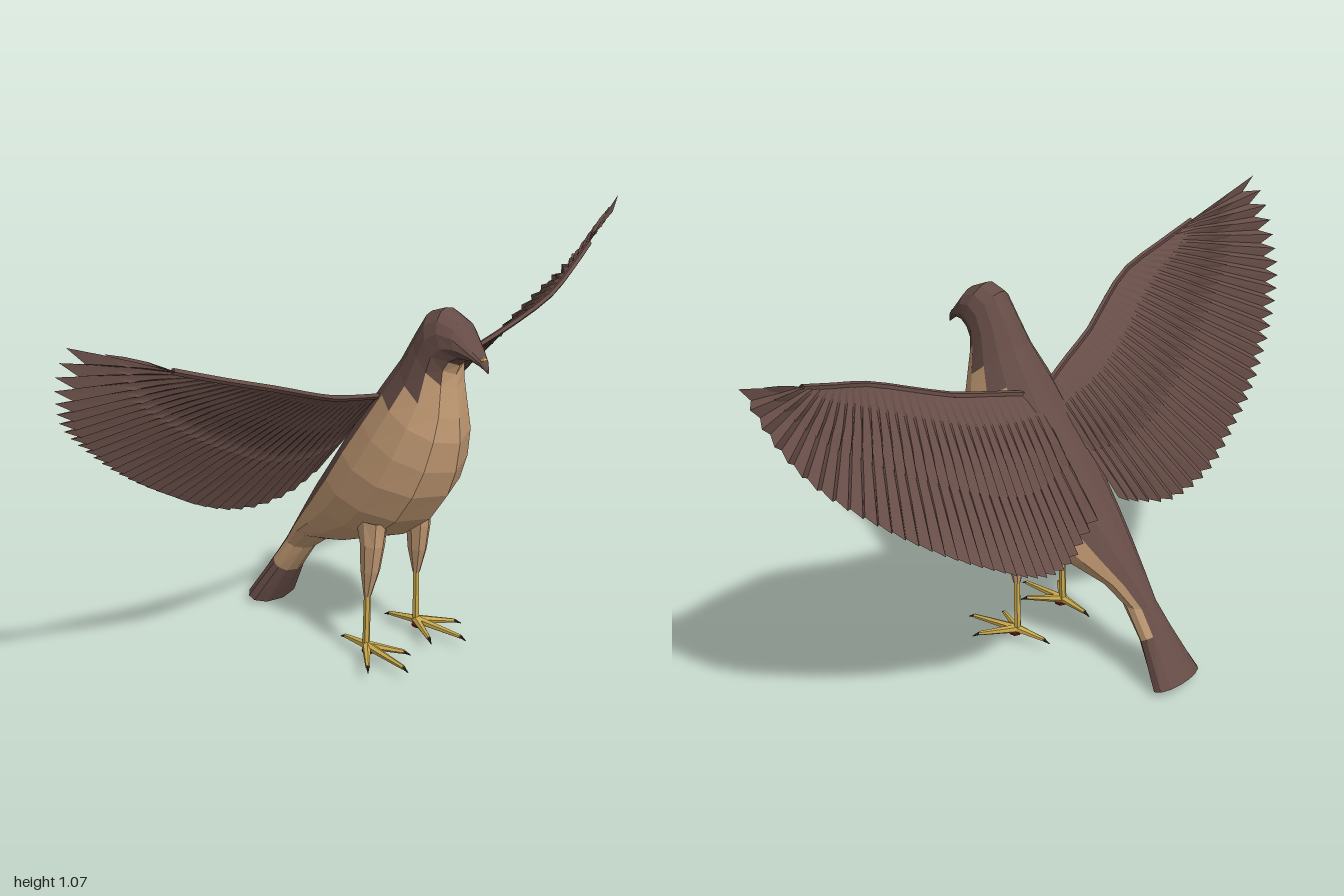
import * as THREE from 'three';

const mat = (name, color, double) => {
  const m = new THREE.MeshStandardMaterial({ color, flatShading: true });
  m.name = name;
  if (double) m.side = THREE.DoubleSide;
  return m;
};
const V = (x, y, z) => new THREE.Vector3(x, y, z);

function meshFrom(name, pts, material) {
  const g = new THREE.BufferGeometry().setFromPoints(pts);
  g.computeVertexNormals();
  const m = new THREE.Mesh(g, material);
  m.name = name;
  return m;
}

// tapered rod between two points
function rod(name, a, b, ra, rb, material, sides = 6) {
  const m = new THREE.Mesh(new THREE.CylinderGeometry(rb, ra, a.distanceTo(b), sides), material);
  m.position.copy(a).lerp(b, 0.5);
  m.quaternion.setFromUnitVectors(V(0, 1, 0), b.clone().sub(a).normalize());
  m.name = name;
  return m;
}

// body sections from beak to tail: back z, back y, belly z, belly y, half width
const SECTIONS = [
  [0.402, 0.85, 0.402, 0.838, 0.004], [0.395, 0.868, 0.385, 0.852, 0.014],
  [0.365, 0.9, 0.365, 0.862, 0.03], [0.32, 0.955, 0.335, 0.858, 0.05],
  [0.27, 0.977, 0.315, 0.84, 0.06], [0.225, 0.96, 0.305, 0.815, 0.065],
  [0.19, 0.905, 0.308, 0.78, 0.07], [0.15, 0.835, 0.318, 0.7, 0.088],
  [0.1, 0.765, 0.322, 0.64, 0.112], [0.04, 0.68, 0.31, 0.56, 0.132],
  [-0.03, 0.58, 0.285, 0.49, 0.145], [-0.09, 0.49, 0.23, 0.41, 0.142],
  [-0.14, 0.42, 0.14, 0.34, 0.125], [-0.19, 0.345, 0, 0.285, 0.095],
  [-0.24, 0.27, -0.12, 0.255, 0.062], [-0.28, 0.21, -0.19, 0.2, 0.042],
  [-0.32, 0.15, -0.255, 0.11, 0.052], [-0.4, 0.03, -0.315, 0, 0.085],
];
const HALF = [0, 22, 48, 75, 105, 140, 180];
const ANGLES = [...HALF, ...HALF.slice(1, -1).reverse().map((a) => 360 - a)];

function buildBody(brown, tan) {
  const rings = SECTIONS.map(([bz, by, fz, fy, w]) => ANGLES.map((deg) => {
    const t = THREE.MathUtils.degToRad(deg), f = (1 - Math.cos(t)) / 2;
    return V(w * Math.sin(t), by + (fy - by) * f, bz + (fz - bz) * f);
  }));
  const n = ANGLES.length, dark = [], light = [];
  // first pale strip, counted from the spine, for each section
  const paleFrom = (s) => (s < 4 || s > 15 ? 9 : { 4: 5, 5: 5, 6: 4, 7: 3 }[s] ?? 2);
  for (let s = 0; s < rings.length - 1; s++) {
    for (let k = 0; k < n; k++) {
      const j = (k + 1) % n, strip = Math.min(k, n - 1 - k);
      const a = rings[s][k], b = rings[s][j], c = rings[s + 1][j], d = rings[s + 1][k];
      (strip >= paleFrom(s) ? light : dark).push(a, b, c, a, c, d);
    }
  }
  // closed tail end and beak tip
  [[rings.at(-1), 1], [rings[0], 0]].forEach(([ring, last]) => {
    const mid = ring[0].clone().lerp(ring[6], 0.5);
    ring.forEach((p, k) => {
      const q = ring[(k + 1) % n];
      dark.push(mid, ...(last ? [p, q] : [q, p]));
    });
  });
  return [meshFrom('headBackAndTail', dark, brown), meshFrom('breastAndBelly', light, tan)];
}

// wing curves for the left side
const LEAD = new THREE.CatmullRomCurve3([
  V(0.03, 0.72, 0.1), V(0.14, 0.75, 0.125), V(0.28, 0.79, 0.15), V(0.5, 0.88, 0.2), V(0.64, 0.93, 0.178), V(0.76, 0.975, 0.15),
]);
const TRAIL = new THREE.CatmullRomCurve3([
  V(0.05, 0.46, -0.13), V(0.13, 0.425, -0.14), V(0.21, 0.405, -0.165), V(0.3, 0.415, -0.18), V(0.4, 0.455, -0.185),
  V(0.5, 0.515, -0.172), V(0.6, 0.58, -0.155), V(0.7, 0.655, -0.125), V(0.8, 0.745, -0.085),
  V(0.885, 0.835, -0.035), V(0.925, 0.91, 0.015), V(0.945, 0.985, 0.06), V(0.945, 1.045, 0.105),
]);
const UP = V(-0.23, 0.61, -0.76).normalize();

// pleated fan of pointed feathers; reach shortens it, lift raises it off the wing
function featherFan(name, side, reach, lift, material) {
  const cols = 63, rows = [0, 0.35, 0.7, 1], grid = [];
  for (let i = 0; i <= cols; i++) {
    const u = i / cols, ridge = i % 2;
    const root = LEAD.getPointAt(u), tip = TRAIL.getPointAt(u);
    const dir = tip.clone().sub(root);
    const extra = ridge * (0.014 + 0.032 * u * u * u) / dir.length();
    grid.push(rows.map((v) => {
      const p = root.clone().addScaledVector(dir, v * (reach + extra));
      p.addScaledVector(UP, (ridge - 0.5) * 0.016 * v + lift * Math.sin(Math.PI * Math.min(v, 0.9)));
      p.x *= side;
      return p;
    }));
  }
  const tris = [];
  for (let i = 0; i < cols; i++) {
    for (let r = 0; r < rows.length - 1; r++) {
      const a = grid[i][r], b = grid[i + 1][r], c = grid[i + 1][r + 1], d = grid[i][r + 1];
      tris.push(...(side > 0 ? [a, c, b, a, d, c] : [a, b, c, a, c, d]));
    }
  }
  return meshFrom(name, tris, material);
}

function buildWing(side, material) {
  const wing = new THREE.Group();
  wing.name = side > 0 ? 'leftWing' : 'rightWing';
  wing.add(featherFan('flightFeathers', side, 1, 0.004, material));
  wing.add(featherFan('coverts', side, 0.56, 0.012, material));
  // wing bone along the leading edge
  const path = new THREE.CatmullRomCurve3(LEAD.getPoints(10).map((p) => V(p.x * side, p.y, p.z)));
  const bone = new THREE.Mesh(new THREE.TubeGeometry(path, 12, 0.008, 5), material);
  bone.name = 'leadingEdge';
  wing.add(bone);
  return wing;
}

function buildLeg(side, tan, yellow, black, red) {
  const leg = new THREE.Group();
  leg.name = side > 0 ? 'leftLeg' : 'rightLeg';
  const P = (x, y, z) => V(x * side, y, z);
  // feathered thigh
  const rings = [[0.4, 0.085, 0.105, 0.03, 0.05], [0.335, 0.09, 0.113, 0.029, 0.036], [0.26, 0.093, 0.108, 0.023, 0.028], [0.185, 0.097, 0.102, 0.01, 0.01]]
    .map(([y, x, z, rx, rz]) => Array.from({ length: 8 }, (_, k) => {
      const t = k * Math.PI / 4;
      return V(x * side + rx * Math.sin(t), y, z + rz * Math.cos(t));
    }));
  const tris = [];
  for (let s = 0; s < 3; s++) {
    for (let k = 0; k < 8; k++) {
      const j = (k + 1) % 8, a = rings[s][k], b = rings[s][j], c = rings[s + 1][j], d = rings[s + 1][k];
      tris.push(a, c, b, a, d, c);
    }
  }
  leg.add(meshFrom('thigh', tris, tan));
  const ankle = P(0.1, 0.04, 0.1);
  leg.add(rod('shank', P(0.097, 0.2, 0.102), ankle, 0.009, 0.01, yellow));
  // toes with claws
  [[0.115, 0.245], [0.175, 0.175], [0.05, 0.19], [0.09, 0.015]].forEach(([x, z]) => {
    const end = P(x, 0.032, z);
    const claw = end.clone().addScaledVector(end.clone().sub(ankle).setY(0).normalize(), 0.018).setY(0.024);
    leg.add(rod('toe', ankle, end, 0.012, 0.006, yellow));
    leg.add(rod('claw', end, claw, 0.005, 0.001, black, 5));
  });
  // sole pad
  const sole = new THREE.Mesh(new THREE.CylinderGeometry(0.019, 0.016, 0.008, 6), red);
  sole.position.copy(P(0.1, 0.026, 0.108));
  sole.name = 'solePad';
  leg.add(sole);
  return leg;
}

export function createModel() {
  const brown = mat('brown plumage', 0x664c46, true);
  const tan = mat('tan plumage', 0xc39b74);
  const yellow = mat('yellow skin', 0xcbaa4e);
  const black = mat('black claw', 0x2a2424);
  const red = mat('dark red sole', 0x7a1c14);
  const bird = new THREE.Group();
  bird.name = 'birdOfPrey';
  bird.add(...buildBody(brown, tan));
  // beak skin
  const cere = new THREE.Mesh(new THREE.SphereGeometry(0.01, 6, 4), yellow);
  cere.position.set(0, 0.87, 0.384);
  cere.scale.set(1.5, 0.7, 1);
  cere.name = 'cere';
  bird.add(cere);
  for (const side of [1, -1]) {
    bird.add(buildWing(side, brown), buildLeg(side, tan, yellow, black, red));
  }
  return bird;
}
